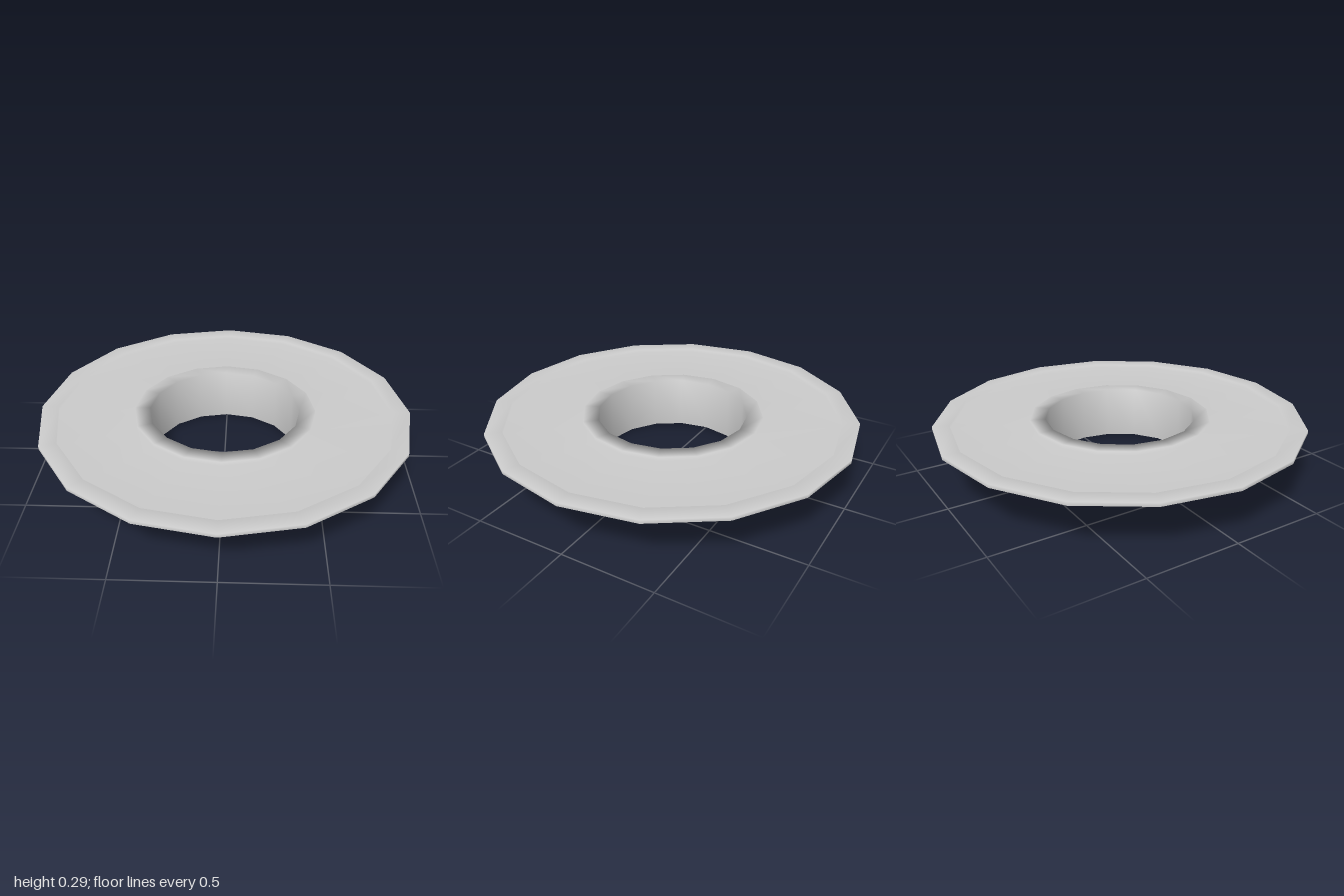
import * as THREE from 'three';

export function createModel() {
  const group = new THREE.Group();
  const grey = new THREE.MeshStandardMaterial({ color: 0xcccccc, side: THREE.DoubleSide });
  grey.name = 'light grey';

  // Open sheet profile, from the outer rim inward and down the sleeve
  const profile = [
    [1, 0.267], [1, 0.286],       // outer rim wall
    [0.91, 0.286], [0.91, 0.267], // raised rim, step down to the floor
    [0.49, 0.267], [0.49, 0.288], // floor, step up to the inner lip
    [0.405, 0.288], [0.405, 0],   // inner lip, sleeve
  ].map(([r, y]) => new THREE.Vector2(r, y));

  const flange = new THREE.Mesh(new THREE.LatheGeometry(profile, 16), grey);
  flange.name = 'flangedRing';
  group.add(flange);
  return group;
}
